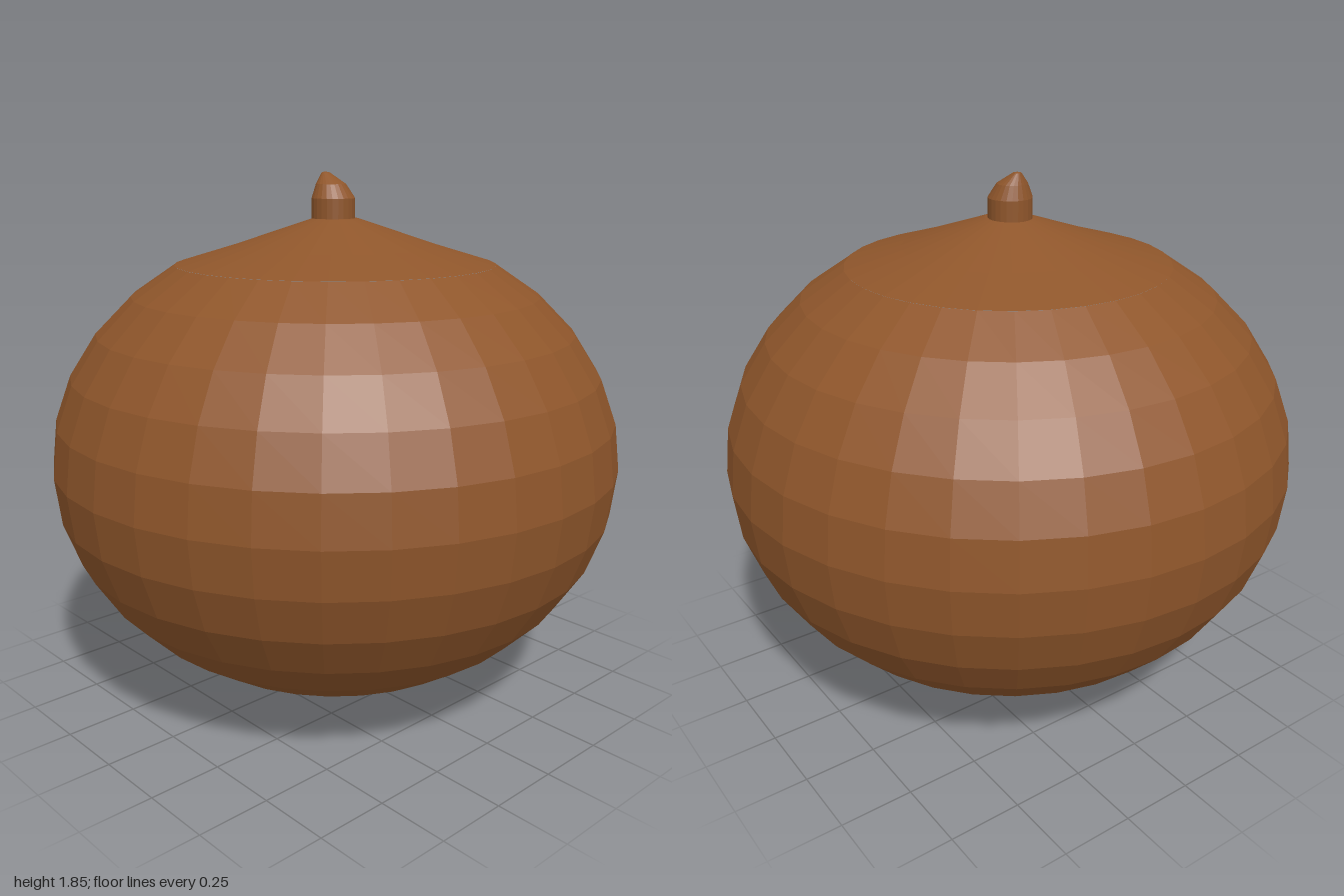
import * as THREE from 'three';

const SIDES = 32;
const brown = new THREE.MeshStandardMaterial({ color: 0x8f562b, flatShading: true });
const olive = new THREE.MeshStandardMaterial({ color: 0x75603c, flatShading: true });

// Faceted solid of revolution; profile runs from bottom to top
function lathe(name, profile, material, sides = SIDES) {
  const points = profile.map(([r, y]) => new THREE.Vector2(r, y));
  const mesh = new THREE.Mesh(new THREE.LatheGeometry(points, sides), material);
  mesh.name = name;
  return mesh;
}

export function createModel() {
  const group = new THREE.Group();
  group.name = 'roundFruit';

  // Squashed round body, in rings of 11.25 degrees up to the shoulder
  const body = [];
  for (let i = -7; i <= 5; i++) {
    const a = (i * Math.PI) / 16;
    body.push([Math.cos(a), 0.86 + 0.823 * Math.sin(a)]);
  }
  body.unshift([0.195, 0.053]);
  group.add(lathe('body', body, brown));

  // Shallow cone rising from the shoulder to the stem
  group.add(lathe('crown', [[0.556, 1.545], [0.36, 1.604], [0.08, 1.697], [0, 1.7]], brown));

  // Flared foot, closed below
  group.add(lathe('foot', [[0, 0], [0.19, 0], [0.285, 0.078]], olive));

  // Stem with a tapering tip that leans towards the back
  const stem = lathe('stem',
    [[0.075, 1.68], [0.075, 1.765], [0.052, 1.812], [0.014, 1.85], [0, 1.853]], brown, 24);
  const pos = stem.geometry.attributes.position;
  for (let i = 0; i < pos.count; i++) {
    const t = Math.max(0, (pos.getY(i) - 1.765) / 0.088);
    pos.setZ(i, pos.getZ(i) - 0.01 - 0.042 * t * t);
  }
  stem.geometry.computeVertexNormals();
  group.add(stem);

  return group;
}
